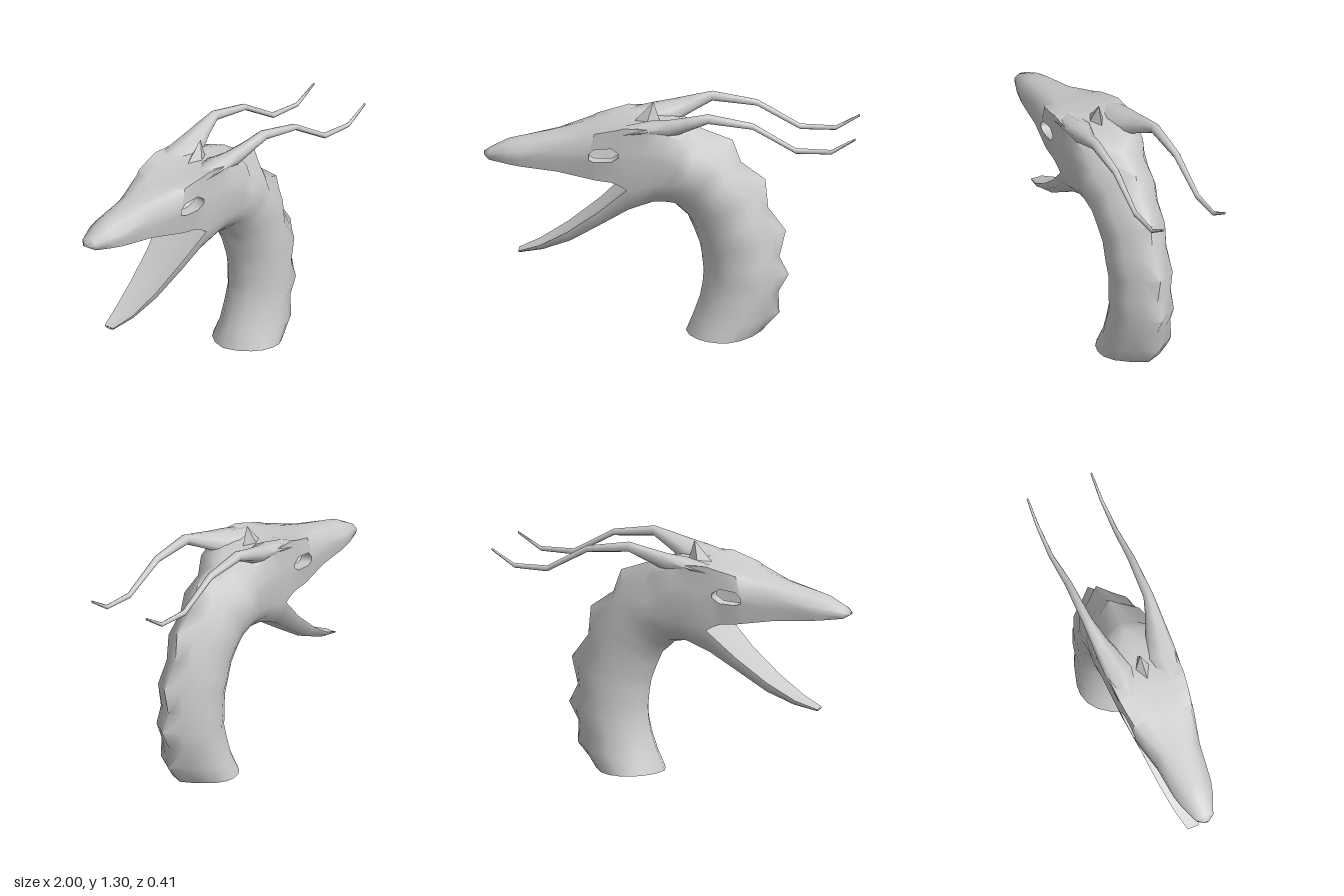
import * as THREE from 'three';
import { toCreasedNormals } from 'three/addons/utils/BufferGeometryUtils.js';

const V = (x, y, z) => new THREE.Vector3(x, y, z);
// Open skin with eye holes and an open neck, so both sides show
const material = new THREE.MeshStandardMaterial({ color: 0xcccccc, side: THREE.DoubleSide });

// Collects quads on the +z side and mirrors each one to -z
class MirrorBuilder {
  constructor() { this.pos = []; }
  tri(a, b, c) {
    if (a.equals(b) || b.equals(c) || a.equals(c)) return;
    for (const p of [a, b, c]) this.pos.push(p.x, p.y, p.z);
    for (const p of [c, b, a]) this.pos.push(p.x, p.y, -p.z);
  }
  quad(a, b, c, d) { this.tri(a, b, c); this.tri(a, c, d); }
  loft(rings, skip = () => false) {
    for (let i = 0; i < rings.length - 1; i++)
      for (let j = 0; j < rings[i].length - 1; j++)
        if (!skip(i, j)) this.quad(rings[i][j], rings[i + 1][j], rings[i + 1][j + 1], rings[i][j + 1]);
  }
  geometry(crease) {
    const g = new THREE.BufferGeometry();
    g.setAttribute('position', new THREE.Float32BufferAttribute(this.pos, 3));
    return toCreasedNormals(g, crease);
  }
}

// Repeats a ring's centre so that the loft closes there
function closeTip(ring) {
  const c = ring.reduce((s, p) => s.add(p), V(0, 0, 0)).divideScalar(ring.length);
  return ring.map(() => c.clone());
}

// Half cross-sections as [distance from back to front, share of half width]
const NECK = [[0, 0], [.1, .42], [.25, .8], [.4, .98], [.54, 1], [.69, .92], [.82, .73], [.94, .4], [1, 0]];
const SKULL = [[0, 0], [-.03, .5], [-.05, .98], [.23, .97], [.31, .98], [.68, .84], [.82, .77], [.95, .5], [1, 0]];

// back x, y, front x, y, half width, blend from neck to skull
const BODY = [
  [.48, 0, .08, 0, .195, 0], [.58, .11, .12, .1, .178, 0], [.575, .23, .155, .2, .167, 0],
  [.63, .33, .17, .28, .165, 0], [.58, .43, .175, .35, .164, 0], [.615, .58, .165, .44, .164, 0],
  [.52, .71, .155, .5, .164, 0], [.505, .87, .125, .58, .167, 0], [.375, .965, .09, .66, .172, 0],
  [.33, 1.09, .055, .69, .18, 0], [.17, 1.15, .02, .725, .192, 0], [.1, 1.195, -.03, .735, .198, .4],
  [-.02, 1.19, -.09, .74, .2, .75], [-.12, 1.19, -.16, .715, .2, .95], [-.24, 1.185, -.22, .69, .195, 1],
];

// x, top y, brow y, brow z, upper side y, lower side y, side z, lip y, lip z
const SNOUT = [
  [-.27, 1.18, 1.2, .188, 1.065, 1.04, .187, .875, .163],
  [-.31, 1.175, 1.19, .183, 1.09, 1.012, .182, .89, .162],
  [-.4, 1.16, 1.166, .168, 1.08, 1.008, .176, .9, .157],
  [-.43, 1.152, 1.155, .152, 1.05, 1.02, .172, .905, .152],
  [-.6, 1.12, 1.11, .085, 1.06, 1, .13, .93, .118],
  [-.8, 1.08, 1.067, .06, 1.03, .99, .108, .945, .095],
  [-.87, 1.065, 1.05, .05, 1.02, .985, .09, .952, .08],
  [-.97, 1.01, 1.005, .035, .995, .98, .05, .962, .045],
  [-1, .99, .989, .008, .987, .984, .014, .978, .01],
];

// edge x, y, underside x, y, half width
const LOWER_JAW = [
  [-.38, .705, -.36, .605, .125], [-.55, .575, -.53, .505, .095],
  [-.7, .485, -.68, .45, .065], [-.815, .44, -.81, .425, .032],
];

// x, y, half height, z, half width, inward slope of the brow plate
const HORN = [
  [-.42, 1.145, .012, .13, .02, 0], [-.25, 1.165, .035, .125, .065, .1], [-.1, 1.18, .053, .118, .085, .22],
  [0, 1.195, .052, .138, .067, .35], [.1, 1.232, .04, .16, .045, .3],
  [.21, 1.272, .028, .178, .028, 0], [.45, 1.237, .018, .183, .02, 0], [.68, 1.105, .016, .187, .013, 0],
  [.87, 1.102, .013, .186, .009, 0], [1, 1.178, .007, .185, .005, 0],
];

function bodyRing([tx, ty, bx, by, w, k], i) {
  return NECK.map(([t, f], j) => {
    // Odd rings carry a raised spine ridge
    const ridge = i % 2 && j === 1 && k === 0 ? .04 : 0;
    const s = THREE.MathUtils.lerp(t + ridge, SKULL[j][0], k);
    const z = w * THREE.MathUtils.lerp(f, SKULL[j][1], k);
    return V(tx + (bx - tx) * s, ty + (by - ty) * s, z);
  });
}

function buildBody(group) {
  const b = new MirrorBuilder();
  const marks = [0];

  // Neck and skull
  const body = BODY.map(bodyRing);
  b.loft(body);
  marks.push(b.pos.length);

  // Upper jaw, leaving the eye sockets open
  const corner = body[body.length - 1];
  const throat = V(-.2, .85, 0);
  const upper = [[...corner.slice(0, 6), throat]];
  for (const [x, ty, by, bz, e1, e2, sz, ly, lz] of SNOUT)
    upper.push([V(x, ty, 0), V(x, (ty + by) / 2 + .004, bz * .55), V(x, by, bz), V(x, e1, sz),
      V(x, e2, sz), V(x, ly, lz), V(x, ly + lz * .12, 0)]);
  upper.push(closeTip(upper[upper.length - 1]));
  b.loft(upper, (i, j) => j === 3 && i >= 1 && i <= 3);

  // Inward rim of the eye socket
  const rim = [4, 3, 2, 1].map(i => upper[i][4]).concat([1, 2, 3, 4].map(i => upper[i][3]));
  rim.forEach((p, i) => {
    const q = rim[(i + 1) % rim.length];
    b.quad(p, q, V(q.x, q.y, q.z - .07), V(p.x, p.y, p.z - .07));
  });
  marks.push(b.pos.length);

  // Lower jaw
  const lower = [[throat, ...corner.slice(5)]];
  for (const [ex, ey, ux, uy, w] of LOWER_JAW) {
    const at = (s, z) => V(ex + (ux - ex) * s, ey + (uy - ey) * s, z);
    lower.push([at(.15, 0), at(0, w), at(.45, w * .95), at(.85, w * .55), at(1, 0)]);
  }
  lower.push(closeTip(lower[lower.length - 1]));
  b.loft(lower);
  marks.push(b.pos.length);

  // Shade as one skin, then split into named parts
  const skin = b.geometry(1.35);
  ['neckAndSkull', 'upperJaw', 'lowerJaw'].forEach((name, i) => {
    const g = new THREE.BufferGeometry();
    for (const key of ['position', 'normal'])
      g.setAttribute(key, new THREE.BufferAttribute(skin.attributes[key].array.slice(marks[i], marks[i + 1]), 3));
    addMesh(group, g, name);
  });
}

function addMesh(group, geometry, name) {
  const mesh = new THREE.Mesh(geometry, material);
  mesh.name = name;
  group.add(mesh);
}

export function createModel() {
  const group = new THREE.Group();
  group.name = 'dragonHead';
  buildBody(group);

  // Brow plates that narrow into a pair of wavy horns
  const horns = new MirrorBuilder();
  const rings = HORN.map(([x, y, ry, z, rz, slope]) => Array.from({ length: 9 }, (_, k) => {
    const a = (k % 8) * Math.PI / 4;
    const dz = -Math.sin(a) * rz;
    return V(x, y + Math.cos(a) * ry + dz * slope, z + dz);
  }));
  rings.push(closeTip(rings[rings.length - 1]));
  horns.loft(rings);
  addMesh(group, horns.geometry(1.2), 'horns');

  // Small spike on the crown, leaning back
  const spike = new THREE.ConeGeometry(1, .12, 4).toNonIndexed();
  spike.scale(.075, 1, .045);
  spike.applyMatrix4(new THREE.Matrix4().set(1, .3, 0, -.112, 0, 1, 0, 1.235, 0, 0, 1, 0, 0, 0, 0, 1));
  spike.computeVertexNormals();
  addMesh(group, spike, 'crownSpike');
  return group;
}
